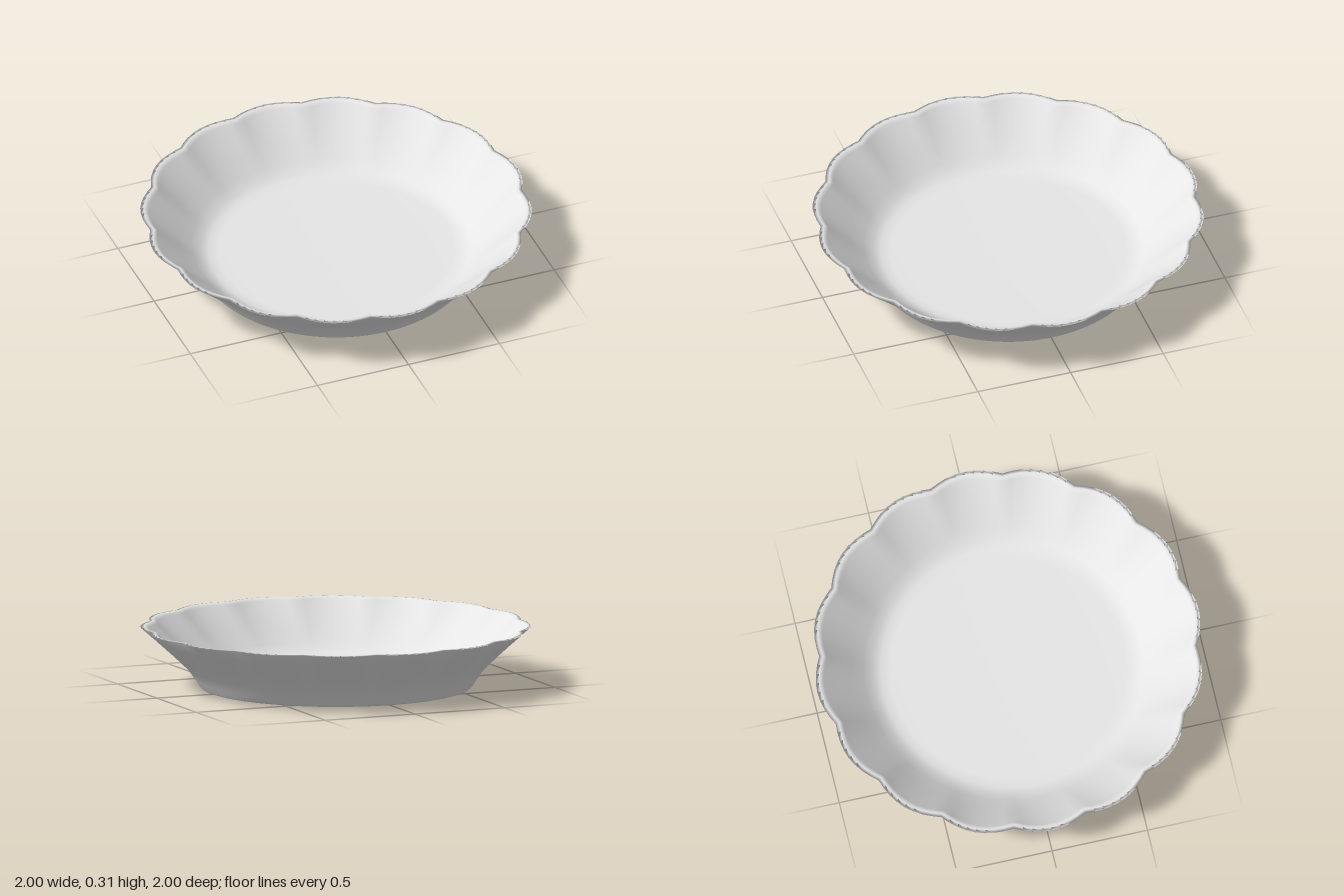
import * as THREE from 'three';
import { mergeVertices } from 'three/addons/utils/BufferGeometryUtils.js';

const HEIGHT = 0.31;
const LOBES = 16;

// Lathe a profile, then scallop it more strongly towards the rim
function flutedLathe(profile) {
  const points = profile.map(([r, y]) => new THREE.Vector2(r, y));
  let geometry = new THREE.LatheGeometry(points, LOBES * 8);
  const position = geometry.attributes.position;
  for (let i = 0; i < position.count; i++) {
    const x = position.getX(i), z = position.getZ(i);
    const lift = Math.max(0, position.getY(i) - 0.06) / (HEIGHT - 0.06);
    // Round lobes meeting in narrow valleys
    const wave = 1 - Math.abs(Math.cos(LOBES / 2 * Math.atan2(x, z)));
    const scale = 1 - 0.035 * Math.pow(lift, 1.3) * wave;
    position.setX(i, x * scale);
    position.setZ(i, z * scale);
  }
  // Weld the seam so the shading runs smoothly all round
  geometry.deleteAttribute('uv');
  geometry.deleteAttribute('normal');
  geometry = mergeVertices(geometry, 1e-4);
  geometry.computeVertexNormals();
  return geometry;
}

export function createModel() {
  const group = new THREE.Group();
  group.name = 'flutedDish';
  const glaze = new THREE.MeshStandardMaterial({ color: 0xe6e6e6 });
  glaze.name = 'pale grey glaze';

  // One closed section: recessed underside, foot ring, outer wall, rounded lip, inner wall, floor
  const dish = new THREE.Mesh(flutedLathe([
    [0, 0.03], [0.35, 0.03], [0.59, 0.029], [0.625, 0.024], [0.645, 0.013], [0.66, 0.003],
    [0.675, 0], [0.692, 0.001], [0.702, 0.01], [0.72, 0.04], [0.76, 0.095], [0.83, 0.16], [0.93, 0.248],
    [1, 0.308], [0.982, HEIGHT], [0.968, 0.305], [0.957, 0.296],
    [0.9, 0.245], [0.81, 0.168], [0.74, 0.108], [0.69, 0.074],
    [0.65, 0.06], [0.6, 0.055], [0.3, 0.052], [0, 0.051],
  ]), glaze);
  dish.name = 'dish';
  group.add(dish);
  return group;
}
